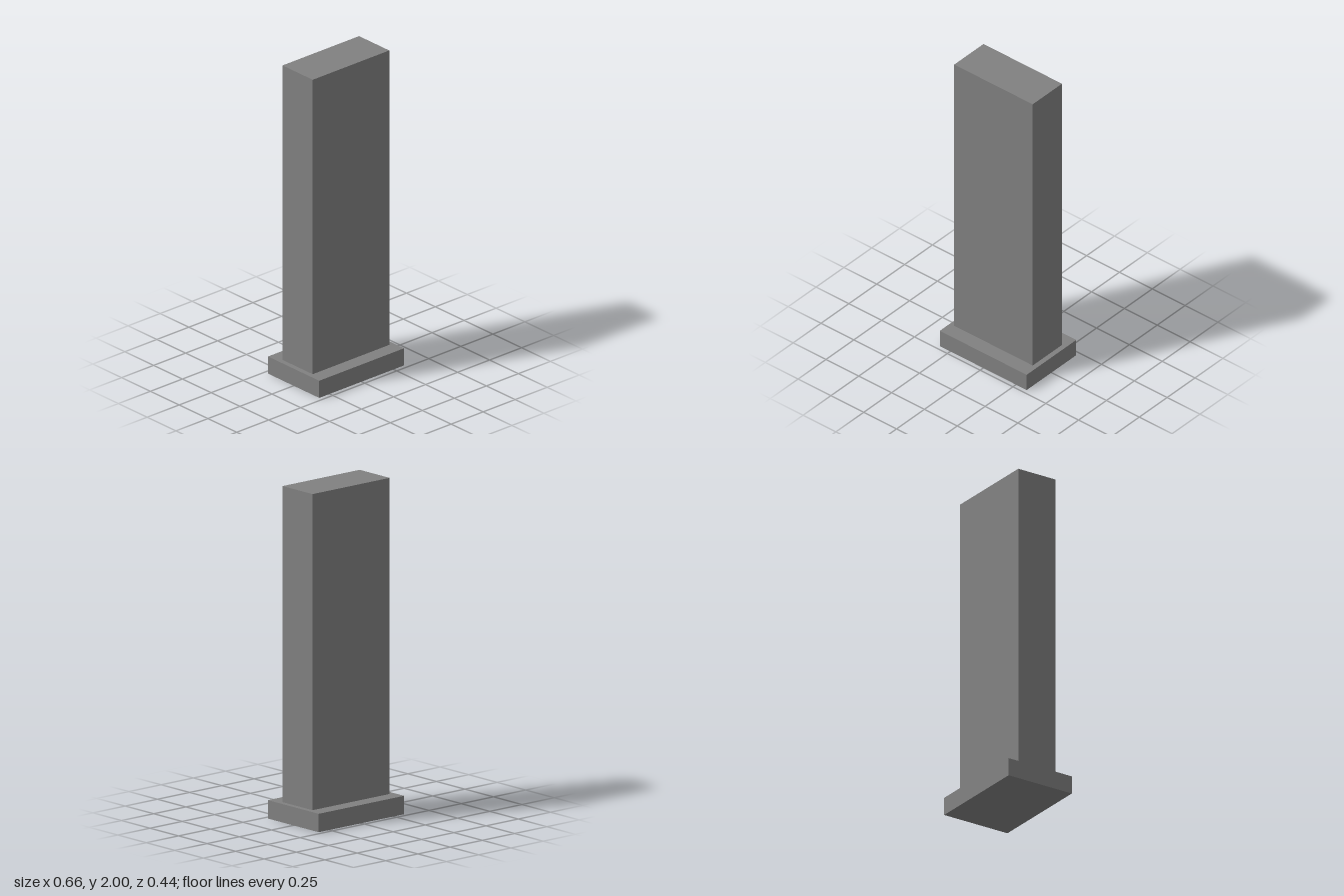
import * as THREE from 'three';

export function createModel() {
  const group = new THREE.Group();
  const material = new THREE.MeshStandardMaterial({ color: 0x808080 });

  // Box standing on height y
  function addBlock(name, width, height, depth, y, z = 0) {
    const mesh = new THREE.Mesh(new THREE.BoxGeometry(width, height, depth), material);
    mesh.name = name;
    mesh.position.set(0, y + height / 2, z);
    group.add(mesh);
  }

  const baseHeight = 0.11;
  // Low plinth
  addBlock('base', 0.662, baseHeight, 0.445, 0);
  // Tall upright slab
  addBlock('slab', 0.598, 2 - baseHeight, 0.263, baseHeight, -0.001);

  return group;
}
